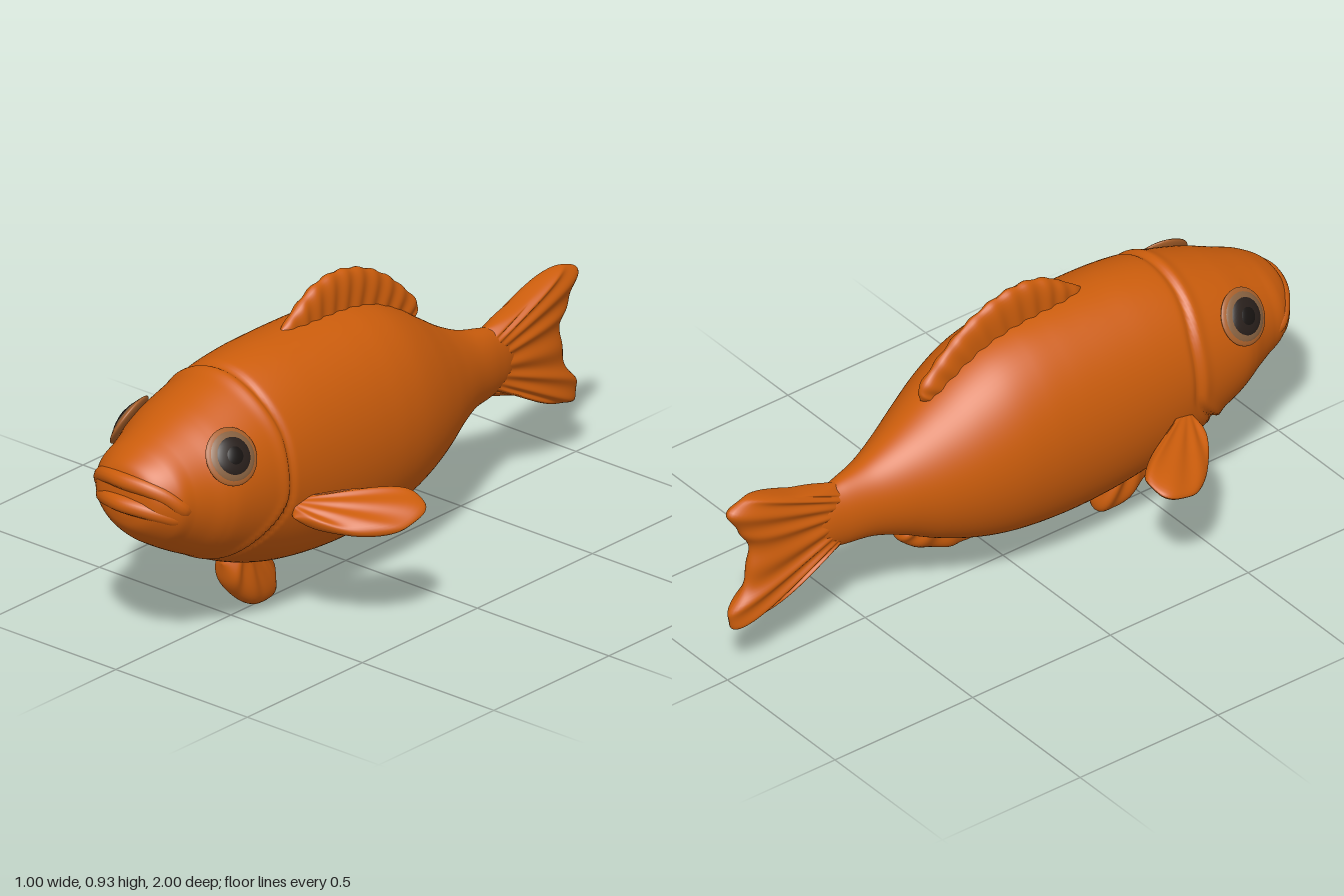
import * as THREE from 'three';

const skin = new THREE.MeshStandardMaterial({ name: 'orangeSkin', color: 0xcc5d0c });
const socketMat = new THREE.MeshStandardMaterial({ name: 'eyeSocketTan', color: 0xa9602a });
const rimMat = new THREE.MeshStandardMaterial({ name: 'eyeRimBrown', color: 0x86603f });
const irisMat = new THREE.MeshStandardMaterial({ name: 'irisDark', color: 0x281f1b });
const pupilMat = new THREE.MeshStandardMaterial({ name: 'pupilBlack', color: 0x171311 });

const V = (x, y, z) => new THREE.Vector3(x, y, z);
const smooth = (t) => THREE.MathUtils.smoothstep(t, 0, 1);

// Joins rows of ring points into a closed, smooth skin
function loft(rows) {
  const n = rows[0].length, pos = [], idx = [];
  rows.forEach((row) => row.forEach((p) => pos.push(p.x, p.y, p.z)));
  for (let i = 0; i < rows.length - 1; i++) {
    for (let j = 0; j < n; j++) {
      const k = (j + 1) % n, a = i * n, b = a + n;
      idx.push(a + j, b + j, a + k, a + k, b + j, b + k);
    }
  }
  const g = new THREE.BufferGeometry();
  g.setAttribute('position', new THREE.Float32BufferAttribute(pos, 3));
  g.setIndex(idx);
  g.computeVertexNormals();
  return g;
}

// Body stations: z, top, bottom, half width
const stations = [
  [0.974, 0.53, 0.53, 0], [0.968, 0.585, 0.468, 0.06], [0.95, 0.63, 0.427, 0.115],
  [0.9, 0.665, 0.378, 0.162], [0.85, 0.69, 0.345, 0.177], [0.8, 0.712, 0.316, 0.195],
  [0.75, 0.733, 0.29, 0.218], [0.7, 0.752, 0.265, 0.233], [0.6, 0.786, 0.217, 0.245],
  [0.5, 0.811, 0.179, 0.251], [0.4, 0.823, 0.153, 0.255], [0.3, 0.826, 0.137, 0.257],
  [0.2, 0.826, 0.128, 0.257], [0.1, 0.823, 0.127, 0.255], [0, 0.813, 0.134, 0.25],
  [-0.1, 0.787, 0.15, 0.237], [-0.2, 0.737, 0.178, 0.211], [-0.3, 0.67, 0.218, 0.174],
  [-0.4, 0.605, 0.267, 0.13], [-0.5, 0.556, 0.302, 0.09], [-0.6, 0.53, 0.311, 0.062],
  [-0.67, 0.51, 0.326, 0.044], [-0.73, 0.475, 0.36, 0.022], [-0.77, 0.417, 0.417, 0],
];

function bodyGeometry() {
  const line = new THREE.CatmullRomCurve3(stations.map((s) => V(s[0], s[1], s[2])), false, 'catmullrom');
  const wide = new THREE.CatmullRomCurve3(stations.map((s) => V(s[3], 0, 0)), false, 'catmullrom');
  const rows = [], ROWS = 320, SIDES = 96;
  for (let i = 0; i <= ROWS; i++) {
    const p = line.getPoint(i / ROWS), w = Math.max(0, wide.getPoint(i / ROWS).x);
    const z = p.x, mid = (p.y + p.z) / 2, h = Math.max(0, (p.y - p.z) / 2);
    const row = [];
    for (let j = 0; j < SIDES; j++) {
      const a = (j / SIDES) * Math.PI * 2;
      const y = mid + h * Math.sin(a);
      // gill cover: raised rim with a groove behind it, fading below the throat
      const zg = 0.517 + 0.024 * smooth((y - 0.62) / 0.18) + 0.15 * smooth((0.47 - y) / 0.24);
      const fade = smooth((y - 0.235) / 0.06);
      const d = fade * (0.006 * Math.exp(-(((z - zg - 0.025) / 0.022) ** 2))
        - 0.01 * Math.exp(-(((z - zg) / 0.013) ** 2)));
      row.push(V((w + d) * Math.cos(a), y + d * Math.sin(a), z));
    }
    rows.push(row);
  }
  return loft(rows);
}

// Thick ribbed fin: rays run from a straight root to a curved outline
function finGeometry(root, outline, thick, ribs, N = 80, M = 14) {
  const curve = new THREE.CatmullRomCurve3(outline, false, 'catmullrom');
  const normal = curve.getPoint(0.5).sub(root[0].clone().lerp(root[1], 0.5))
    .cross(root[1].clone().sub(root[0])).normalize();
  const rows = [];
  for (let i = 0; i <= M; i++) {
    const v = Math.sin((i / M) * Math.PI / 2), row = [];
    for (let j = 0; j < 2 * N; j++) {
      const k = j <= N ? j : 2 * N - j;
      const u = (k / N + (1 - Math.cos((k / N) * Math.PI)) / 2) / 2;
      const wave = Math.cos(u * ribs * Math.PI * 2);
      const edge = Math.sqrt(Math.max(0, 1 - Math.abs(2 * u - 1) ** 6));
      const t = thick * edge * Math.sqrt(Math.max(0, 1 - v ** 6)) * (0.9 - 0.1 * wave * smooth(v * 2.5));
      const p = root[0].clone().lerp(root[1], u)
        .lerp(curve.getPoint(u), v * (1 - 0.01 * (1 + wave) * edge));
      row.push(p.addScaledVector(normal, j <= N ? t : -t));
    }
    rows.push(row);
  }
  return loft(rows);
}

const flat = (list) => list.map(([z, y]) => V(0, y, z));

// Eye: domed discs stacked from socket to pupil
function eye(side) {
  const g = new THREE.Group();
  g.name = side > 0 ? 'leftEye' : 'rightEye';
  const layers = [['eyeSocket', socketMat, 0.086, 0.015, 0], ['eyeRim', rimMat, 0.077, 0.018, 0.002],
    ['iris', irisMat, 0.06, 0.018, 0.0075], ['pupil', pupilMat, 0.034, 0.012, 0.016]];
  for (const [name, mat, r, depth, out] of layers) {
    const m = new THREE.Mesh(new THREE.SphereGeometry(1, 36, 18), mat);
    m.name = name;
    m.scale.set(r, r, depth);
    m.position.z = out;
    g.add(m);
  }
  g.position.set(side * 0.194, 0.637, 0.72);
  g.quaternion.setFromUnitVectors(V(0, 0, 1), V(side * 0.84, 0.48, 0.2).normalize());
  return g;
}

export function createModel() {
  const fish = new THREE.Group();
  fish.name = 'fish';
  const add = (name, geometry) => {
    const m = new THREE.Mesh(geometry, skin);
    m.name = name;
    fish.add(m);
  };

  add('body', bodyGeometry());

  // Downturned lips, with ends sunk into the cheeks
  const lip = (name, half, r) => {
    const pts = [...half.slice(1).reverse().map(([x, y, z]) => V(-x, y, z)), ...half.map((p) => V(...p))];
    add(name, new THREE.TubeGeometry(new THREE.CatmullRomCurve3(pts), 48, r, 14));
  };
  lip('upperLip', [[0, 0.585, 0.96], [0.07, 0.578, 0.946], [0.12, 0.555, 0.917], [0.148, 0.515, 0.88], [0.13, 0.49, 0.845]], 0.026);
  lip('lowerLip', [[0, 0.518, 0.972], [0.06, 0.513, 0.957], [0.11, 0.498, 0.922], [0.132, 0.482, 0.885], [0.12, 0.475, 0.845]], 0.026);

  // Fins on the centre line
  add('dorsalFin', finGeometry(flat([[0.27, 0.77], [-0.26, 0.65]]),
    flat([[0.29, 0.82], [0.22, 0.872], [0.15, 0.915], [0.07, 0.933], [-0.01, 0.925], [-0.09, 0.897],
      [-0.17, 0.85], [-0.24, 0.79], [-0.3, 0.725], [-0.3, 0.68]]), 0.031, 11, 130));
  add('tailFin', finGeometry(flat([[-0.58, 0.5], [-0.58, 0.34]]),
    flat([[-0.6, 0.525], [-0.75, 0.562], [-0.88, 0.606], [-0.96, 0.613], [-1.002, 0.578], [-0.965, 0.51],
      [-0.93, 0.45], [-0.93, 0.37], [-0.955, 0.29], [-1.002, 0.225], [-0.985, 0.178], [-0.93, 0.182],
      [-0.83, 0.22], [-0.72, 0.282], [-0.6, 0.315]]), 0.047, 9, 120, 20));
  add('pelvicFin', finGeometry(flat([[0.52, 0.22], [0.4, 0.2]]),
    flat([[0.54, 0.18], [0.525, 0.11], [0.485, 0.055], [0.43, 0.018], [0.375, 0.001], [0.335, 0.018],
      [0.322, 0.06], [0.345, 0.12], [0.38, 0.17]]), 0.05, 4));
  add('analFin', finGeometry(flat([[-0.13, 0.22], [-0.34, 0.3]]),
    flat([[-0.1, 0.17], [-0.14, 0.134], [-0.2, 0.134], [-0.28, 0.16], [-0.35, 0.198], [-0.388, 0.235],
      [-0.38, 0.28]]), 0.048, 4));

  // Paired fins and eyes
  for (const side of [1, -1]) {
    const pts = (list) => list.map(([x, y, z]) => V(side * x, y, z));
    add(side > 0 ? 'leftPectoralFin' : 'rightPectoralFin', finGeometry(
      pts([[0.23, 0.415, 0.44], [0.23, 0.395, 0.5]]),
      pts([[0.25, 0.42, 0.43], [0.305, 0.422, 0.325], [0.36, 0.422, 0.245], [0.42, 0.418, 0.193], [0.475, 0.4, 0.195],
        [0.503, 0.375, 0.245], [0.49, 0.355, 0.32], [0.425, 0.35, 0.41], [0.335, 0.37, 0.48], [0.25, 0.39, 0.515]]),
      0.028, 5));
    fish.add(eye(side));
  }
  return fish;
}
